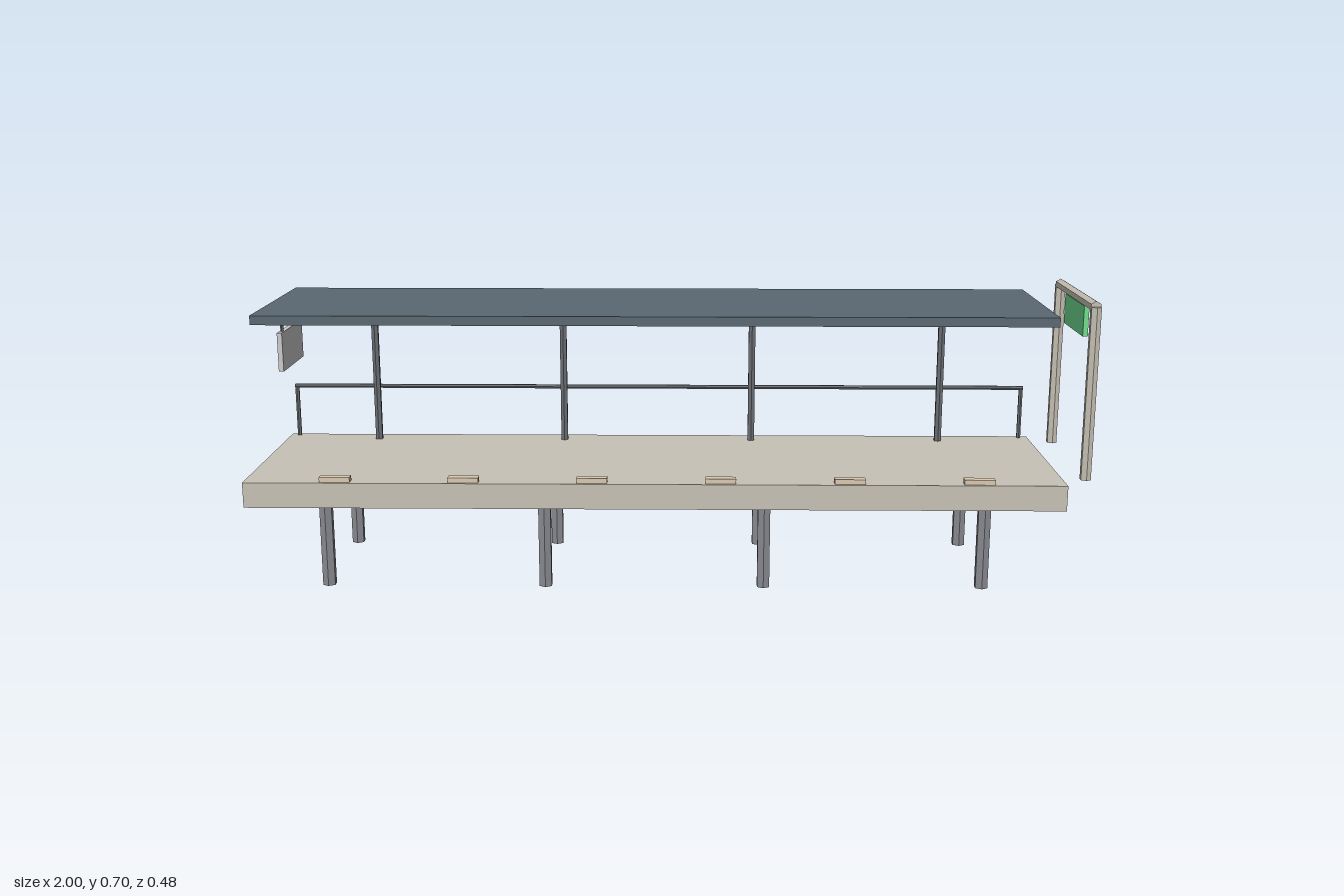
import * as THREE from 'three';

const mat = (color) => new THREE.MeshStandardMaterial({ color, flatShading: true });

export function createModel() {
  const model = new THREE.Group();
  const concrete = mat(0xc8c2b6);
  const slate = mat(0x5b6872);
  const steel = mat(0x8a8b92);
  const darkSteel = mat(0x6b6f74);
  const cream = mat(0xd9c9b0);
  const green = mat(0x72de90);
  const grey = mat(0xcccccc);

  // Box given by its extents along each axis
  function box(name, material, [x0, x1], [y0, y1], [z0, z1], parent = model) {
    const mesh = new THREE.Mesh(new THREE.BoxGeometry(x1 - x0, y1 - y0, z1 - z0), material);
    mesh.position.set((x0 + x1) / 2, (y0 + y1) / 2, (z0 + z1) / 2);
    mesh.name = name;
    parent.add(mesh);
  }

  // Six-sided bar centred at a point, running along an axis
  function bar(name, material, radius, length, [x, y, z], axis = 'y', parent = model) {
    const geometry = new THREE.CylinderGeometry(radius, radius, length, 6);
    if (axis === 'x') geometry.rotateZ(Math.PI / 2);
    if (axis === 'z') geometry.rotateX(Math.PI / 2);
    const mesh = new THREE.Mesh(geometry, material);
    mesh.position.set(x, y, z);
    mesh.name = name;
    parent.add(mesh);
  }

  function group(name) {
    const g = new THREE.Group();
    g.name = name;
    model.add(g);
    return g;
  }

  const deckTop = 0.274, deckBottom = 0.213, roofBottom = 0.645;

  // Deck and roof slabs
  box('deck', concrete, [-1, 0.935], [deckBottom, deckTop], [-0.242, 0.242]);
  box('roof', slate, [-0.965, 0.9], [roofBottom, 0.667], [-0.218, 0.218]);

  // Piles under the deck
  const piles = group('piles');
  for (let i = 0; i < 4; i++)
    for (const side of [-1, 1])
      bar('pile', steel, 0.017, deckBottom, [-0.822 + i * 0.526, deckBottom / 2, side * 0.17], 'y', piles);

  // Roof posts along the back, each with a light strip in line under the roof
  const posts = group('roofPosts');
  const lights = group('lightStrips');
  for (let i = 0; i < 4; i++) {
    const x = -0.76 + i * 0.485;
    bar('roofPost', darkSteel, 0.0097, roofBottom - deckTop, [x, (roofBottom + deckTop) / 2, -0.194], 'y', posts);
    box('lightStrip', cream, [x - 0.156, x + 0.156], [0.623, 0.634], [-0.018, 0.018], lights);
  }

  // Back railing
  const railing = group('railing');
  const railX = [-0.978, 0.912], railY = 0.407, railZ = -0.23;
  for (const x of railX)
    bar('railPost', darkSteel, 0.0055, railY - deckTop, [x, (railY + deckTop) / 2, railZ], 'y', railing);
  bar('handRail', darkSteel, 0.0055, railX[1] - railX[0] + 0.01, [(railX[0] + railX[1]) / 2, railY, railZ], 'x', railing);

  // Low blocks along the front edge
  const blocks = group('edgeBlocks');
  for (let i = 0; i < 6; i++) {
    const x = -0.784 + i * 0.303;
    box('edgeBlock', cream, [x - 0.036, x + 0.036], [deckTop, 0.286], [0.214, 0.236], blocks);
  }

  // Signal frame beyond the left end, with its green panel
  const frame = group('signalFrame');
  const frameX = 0.988, frameY = 0.6865;
  for (const side of [-1, 1])
    bar('framePost', concrete, 0.0135, frameY - deckTop, [frameX, (frameY + deckTop) / 2, side * 0.182], 'y', frame);
  bar('frameBeam', concrete, 0.0135, 0.364, [frameX, frameY, 0], 'z', frame);
  box('greenPanel', green, [frameX - 0.006, frameX + 0.006], [0.602, 0.675], [-0.098, 0.098], frame);

  // Board hung under the right end of the roof
  const board = group('hangingBoard');
  box('boardPanel', grey, [-0.936, -0.924], [0.511, 0.605], [-0.098, 0.098], board);
  for (const side of [-1, 1])
    bar('boardHanger', darkSteel, 0.004, roofBottom - 0.605, [-0.93, (roofBottom + 0.605) / 2, side * 0.07], 'y', board);

  return model;
}
